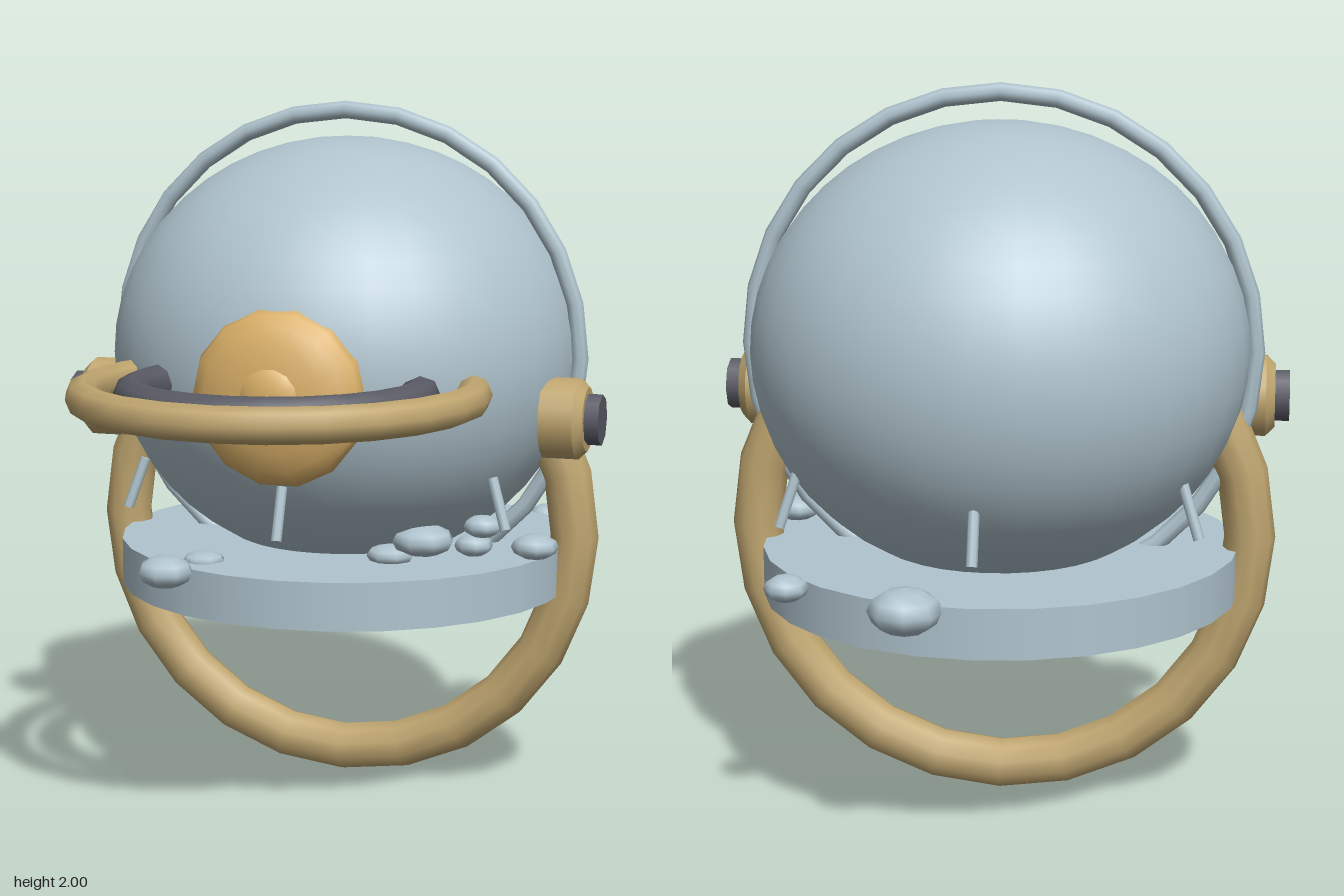
import * as THREE from 'three';

export function createModel() {
  const root = new THREE.Group();
  const mat = (name, color) => {
    const m = new THREE.MeshStandardMaterial({ color });
    m.name = name;
    return m;
  };
  const steel = mat('blue grey steel', 0xb0c4ce);
  const brass = mat('dull brass', 0xc0a670);
  const gold = mat('gold', 0xdab068);
  const dark = mat('dark iron', 0x5a5b65);

  const add = (name, geo, material, x, y, z) => {
    const mesh = new THREE.Mesh(geo, material);
    mesh.name = name;
    mesh.position.set(x, y, z);
    root.add(mesh);
    return mesh;
  };
  const AXIS_Z = -0.23; // centre line of the helmet

  // Slightly flattened helmet dome
  add('dome', new THREE.SphereGeometry(0.68, 32, 24).scale(1, 0.62 / 0.68, 1), steel, 0, 1.28, -0.237);

  // Collar plate
  const collar = new THREE.CylinderGeometry(0.66, 0.66, 0.135, 28);
  add('collar', collar, steel, 0, 0.667, -0.22);

  // Thin hoop over the dome and thick hanging ring below it
  add('crestHoop', new THREE.TorusGeometry(0.695, 0.025, 8, 28), steel, 0, 1.28, -0.22);
  add('hangingRing', new THREE.TorusGeometry(0.69, 0.07, 10, 24), brass, 0, 0.765, -0.22);

  // Two flat guard rings around the porthole
  const flatRing = (r, t, seg) => new THREE.TorusGeometry(r, t, 8, seg).rotateX(Math.PI / 2);
  add('outerGuardRing', flatRing(0.525, 0.048, 24), brass, 0, 1.24, 0.4);
  add('innerGuardRing', flatRing(0.385, 0.054, 24), dark, 0, 1.24, 0.42);

  // Porthole lens with a small centre boss
  const lens = (r, d) => new THREE.SphereGeometry(r, 14, 10).rotateX(Math.PI / 2).scale(1, 1, d / r);
  add('porthole', lens(0.245, 0.095), gold, 0, 1.228, 0.4);
  add('portholeBoss', lens(0.1, 0.05), gold, 0, 1.235, 0.46);

  // Side knobs with chamfered rims and hexagonal bolts
  const rim = [[0, -0.06], [0.115, -0.06], [0.115, -0.06], [0.115, 0.035],
    [0.115, 0.035], [0.09, 0.06], [0.09, 0.06], [0, 0.06]];
  const knobGeo = new THREE.LatheGeometry(rim.map(([r, y]) => new THREE.Vector2(r, y)), 16);
  const boltGeo = new THREE.CylinderGeometry(0.072, 0.072, 0.16, 8);
  for (const side of [1, -1]) {
    const label = side > 0 ? 'left' : 'right';
    add(label + 'Knob', knobGeo, brass, side * 0.69, 1.132, -0.075).rotation.z = -side * Math.PI / 2;
    add(label + 'Bolt', boltGeo, dark, side * 0.71, 1.132, -0.075).rotation.z = -side * Math.PI / 2;
  }

  // Six leaning pins around the neck
  const pinGeo = new THREE.CylinderGeometry(0.015, 0.015, 0.15, 8);
  for (let i = 0; i < 6; i++) {
    const a = i * Math.PI / 3;
    const pin = add('neckPin', pinGeo, steel, 0.62 * Math.sin(a), 0.91, AXIS_Z + 0.01 + 0.62 * Math.cos(a));
    pin.rotation.set(-0.35, a, 0, 'YXZ');
  }

  // Flattened lumps scattered on the collar: x, y, z, radius, half height
  const lumps = [
    [-0.32, 0.735, 0.43, 0.078, 0.045],
    [-0.27, 0.735, 0.26, 0.06, 0.025],
    [0.32, 0.795, 0.09, 0.09, 0.045],
    [0.23, 0.75, 0.1, 0.07, 0.03],
    [0.47, 0.825, 0.0, 0.055, 0.032],
    [0.44, 0.765, -0.02, 0.055, 0.032],
    [0.61, 0.765, -0.05, 0.068, 0.036],
    [0.51, 0.72, -0.705, 0.06, 0.036],
    [0.17, 0.72, -0.87, 0.098, 0.06],
  ];
  const lumpGeo = new THREE.SphereGeometry(1, 8, 6);
  lumps.forEach(([x, y, z, r, h], i) => {
    const lump = add('collarLump', lumpGeo, steel, x, y, z);
    lump.scale.set(r, h, r);
    lump.rotation.y = i * 0.7;
  });

  return root;
}
